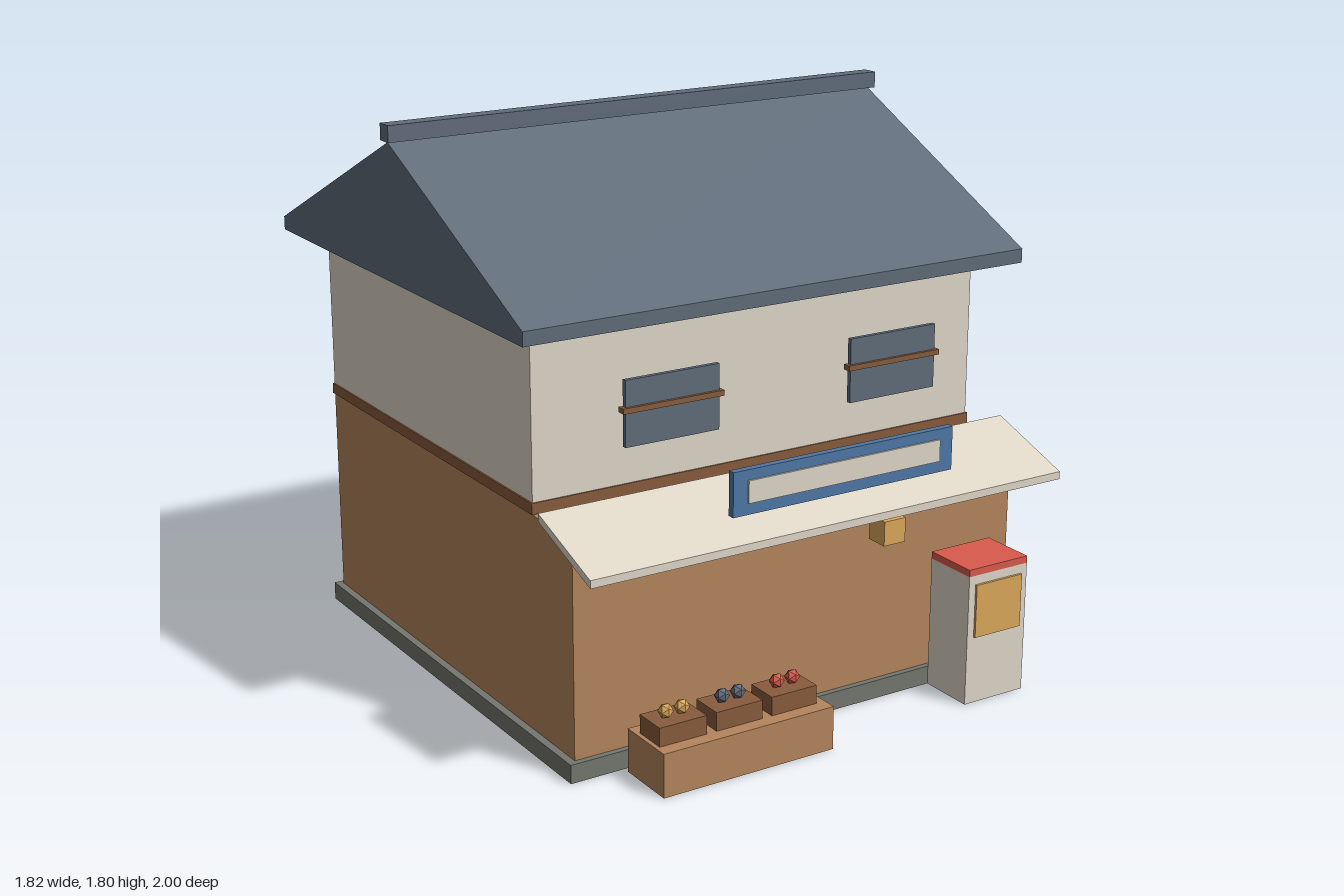
import * as THREE from 'three';

const mat = (name, color) => {
  const m = new THREE.MeshStandardMaterial({ color });
  m.name = name;
  return m;
};

export function createModel() {
  const cream = mat('cream plaster', 0xdfd7c8);
  const wood = mat('warm wood', 0xb5855d);
  const darkWood = mat('dark wood', 0x885c3d);
  const slate = mat('slate blue', 0x606c7a);
  const stone = mat('stone grey', 0x74766f);
  const blue = mat('sign blue', 0x4f78a6);
  const red = mat('red', 0xd95a4c);
  const gold = mat('gold', 0xdba85a);

  const model = new THREE.Group();
  model.name = 'shopHouse';

  const add = (name, geometry, material, parent = model) => {
    const mesh = new THREE.Mesh(geometry, material);
    mesh.name = name;
    parent.add(mesh);
    return mesh;
  };
  const group = (name) => {
    const g = new THREE.Group();
    g.name = name;
    model.add(g);
    return g;
  };
  // Box given by its extents on each axis
  const box = (name, material, [x0, x1], [y0, y1], [z0, z1], parent) => {
    const g = new THREE.BoxGeometry(x1 - x0, y1 - y0, z1 - z0);
    g.translate((x0 + x1) / 2, (y0 + y1) / 2, (z0 + z1) / 2);
    return add(name, g, material, parent);
  };
  // Side profile in (z, y), swept across the width
  const prism = (name, material, points, halfWidth) => {
    const shape = new THREE.Shape(points.map(([z, y]) => new THREE.Vector2(z, y)));
    const g = new THREE.ExtrudeGeometry(shape, { depth: halfWidth * 2, bevelEnabled: false });
    g.translate(0, 0, -halfWidth);
    g.rotateY(-Math.PI / 2);
    return add(name, g, material);
  };

  // Building body
  box('foundation', stone, [-0.83, 0.83], [0, 0.06], [-0.88, 0.78]);
  box('groundFloor', wood, [-0.805, 0.805], [0.06, 0.752], [-0.86, 0.76]);
  box('upperFloor', cream, [-0.805, 0.805], [0.752, 1.31], [-0.86, 0.53]);
  box('floorBand', darkWood, [-0.81, 0.81], [0.755, 0.79], [-0.865, 0.535]);

  // Gabled roof and ridge beam
  prism('roof', slate, [[-1, 1.31], [0.665, 1.31], [0.665, 1.355], [-0.167, 1.747], [-1, 1.355]], 0.9);
  box('roofRidge', slate, [-0.91, 0.91], [1.75, 1.803], [-0.195, -0.14]);

  // Sloping shop awning
  prism('awning', cream, [[0.945, 0.675], [0.945, 0.7], [0.65, 0.805], [0.65, 0.78]], 0.853);

  // Upper windows with a cross rail
  for (const x of [-0.402, 0.402]) {
    const w = group('window');
    box('windowPane', slate, [x - 0.162, x + 0.162], [0.952, 1.157], [0.643, 0.658], w);
    box('windowRail', darkWood, [x - 0.174, x + 0.174], [1.058, 1.075], [0.64, 0.668], w);
  }

  // Shop sign
  box('signBoard', blue, [-0.395, 0.395], [0.8, 0.937], [0.945, 0.968]);
  box('signPanel', cream, [-0.345, 0.345], [0.836, 0.905], [0.966, 0.974]);

  // Hanging lantern
  box('lantern', gold, [0.235, 0.315], [0.547, 0.626], [0.78, 0.857]);

  // Vending machine
  const machine = group('vendingMachine');
  box('machineBody', cream, [0.485, 0.715], [0, 0.43], [0.78, 0.968], machine);
  box('machineCap', red, [0.485, 0.715], [0.43, 0.453], [0.78, 0.968], machine);
  box('machineWindow', gold, [0.51, 0.69], [0.224, 0.4], [0.967, 0.976], machine);

  // Produce stand with three crates
  const stand = group('produceStand');
  box('standTable', wood, [-0.648, -0.048], [0, 0.14], [0.8, 1], stand);
  [gold, slate, red].forEach((fruit, i) => {
    const x = -0.553 + i * 0.196;
    box('crate', darkWood, [x - 0.081, x + 0.081], [0.14, 0.2], [0.845, 0.955], stand);
    for (const dx of [-0.027, 0.029]) {
      const f = new THREE.IcosahedronGeometry(0.024, 0);
      f.translate(x + dx, 0.22, 0.9);
      add('fruit', f, fruit, stand);
    }
  });

  return model;
}
